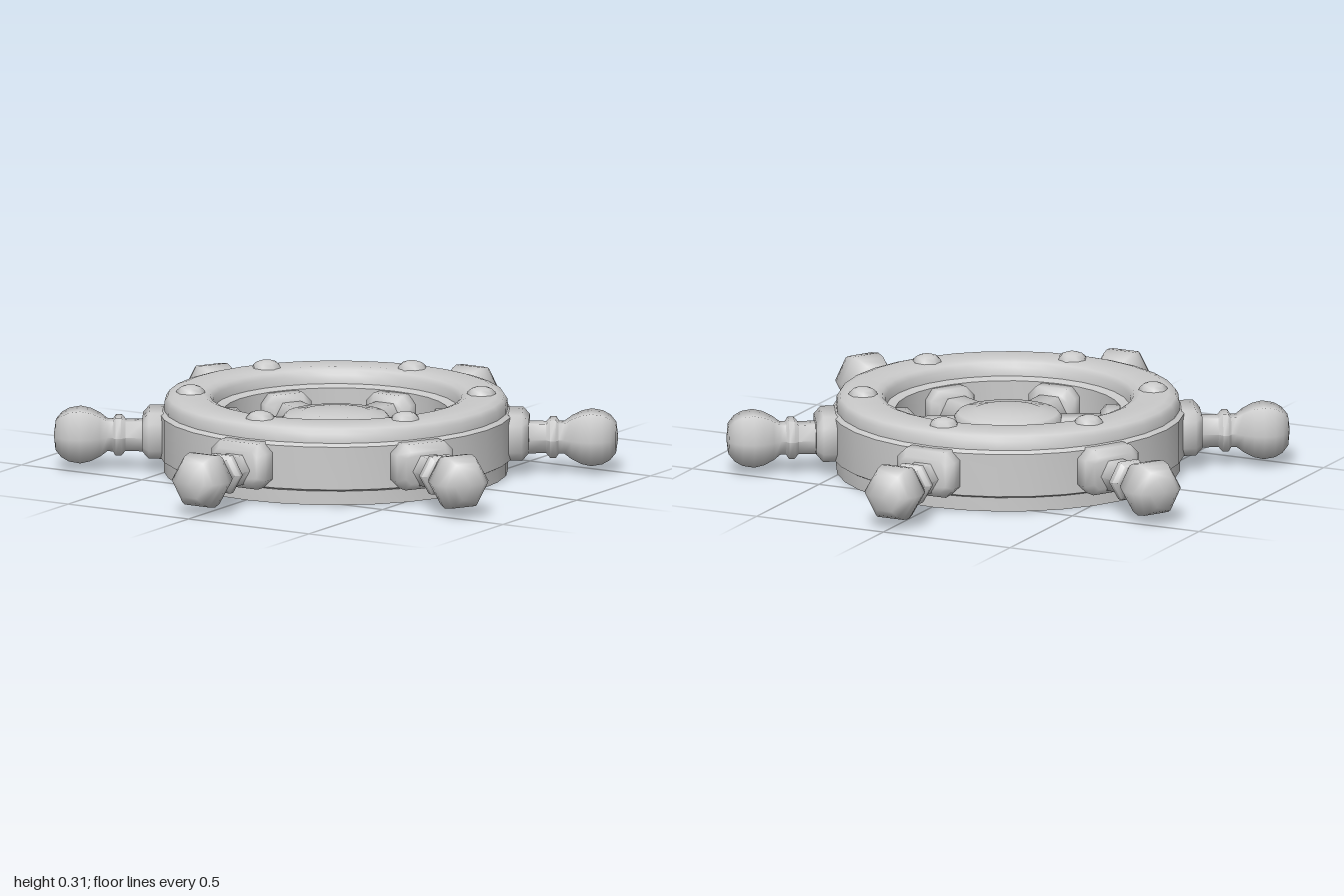
import * as THREE from 'three';
import { toCreasedNormals } from 'three/addons/utils/BufferGeometryUtils.js';

const solid = new THREE.MeshStandardMaterial({ color: 0xcccccc });
const shell = new THREE.MeshStandardMaterial({ color: 0xcccccc, side: THREE.DoubleSide });
const AXLE = 0.125; // height of the spokes' centre line

const lathe = (pts, sides, phi = 0) =>
  new THREE.LatheGeometry(pts.map(([r, y]) => new THREE.Vector2(r, y)), sides, phi);

function part(name, geometry, parent, crease, material = solid) {
  const mesh = new THREE.Mesh(toCreasedNormals(geometry, crease), material);
  mesh.name = name;
  parent.add(mesh);
  return mesh;
}

// Chamfered block whose outer face points along +z, from z0 to z1
function collarGeometry(w, h, c, z0, z1, bevel) {
  const x = w - bevel, y = h - bevel;
  const shape = new THREE.Shape([
    [x, -y + c], [x, y - c], [x - c, y], [-x + c, y],
    [-x, y - c], [-x, -y + c], [-x + c, -y], [x - c, -y],
  ].map(([a, b]) => new THREE.Vector2(a, b)));
  const g = new THREE.ExtrudeGeometry(shape, {
    depth: z1 - z0 - 2 * bevel, bevelEnabled: true,
    bevelThickness: bevel, bevelSize: bevel, bevelSegments: 1,
  });
  return g.translate(0, 0, z0 + bevel);
}

export function createModel() {
  const wheel = new THREE.Group();
  wheel.name = 'shipWheel';

  // Hollow rim, open below with a narrow lip on each wall
  part('rim', lathe([
    [0.575, 0], [0.61, 0], [0.61, 0.05], [0.626, 0.058], [0.626, 0.212],
    [0.61, 0.223], [0.608, 0.255], [0.597, 0.272], [0.57, 0.28],
    [0.47, 0.28], [0.447, 0.272], [0.436, 0.255], [0.432, 0.225],
    [0.4, 0.216], [0.4, 0], [0.432, 0],
  ], 32), wheel, 0.85, shell);

  // Hub with a faintly raised disc, also open below
  part('hub', lathe([
    [0.165, 0], [0.19, 0], [0.19, 0.192], [0.178, 0.206],
    [0.125, 0.212], [0.118, 0.215], [0, 0.216],
  ], 32), wheel, 0.9, shell);

  // Six-sided turned spoke and handle, profile as radius and distance out
  const spokeProfile = [
    [0.072, 0], [0.072, 0.66], [0.062, 0.68], [0.06, 0.745], [0.078, 0.76],
    [0.078, 0.78], [0.062, 0.79], [0.062, 0.81], [0.082, 0.835], [0.1, 0.87],
    [0.108, 0.905], [0.101, 0.945], [0.085, 0.972], [0.058, 0.993], [0, 1],
  ];

  for (let i = 0; i < 6; i++) {
    const arm = new THREE.Group();
    arm.name = 'arm' + (i + 1);
    arm.rotation.y = i * Math.PI / 3;
    wheel.add(arm);

    const spoke = lathe(spokeProfile, 6, Math.PI / 2).rotateX(Math.PI / 2);
    part('spokeAndHandle', spoke, arm, 1.15).position.y = AXLE;

    // Collars on both sides of the rim
    const outer = collarGeometry(0.113, 0.082, 0.02, 0.58, 0.685, 0.024);
    part('outerCollar', outer, arm, 1.2).position.y = 0.137;
    const inner = collarGeometry(0.092, 0.081, 0.02, 0.33, 0.42, 0.022);
    part('innerCollar', inner, arm, 1.2).position.y = 0.132;

    // Domed bolt on top of the rim
    const bolt = lathe([[0.052, 0], [0.05, 0.01], [0.036, 0.022], [0.018, 0.028], [0, 0.029]], 8);
    part('bolt', bolt, arm, 1).position.set(0, 0.277, 0.515);
  }
  return wheel;
}
